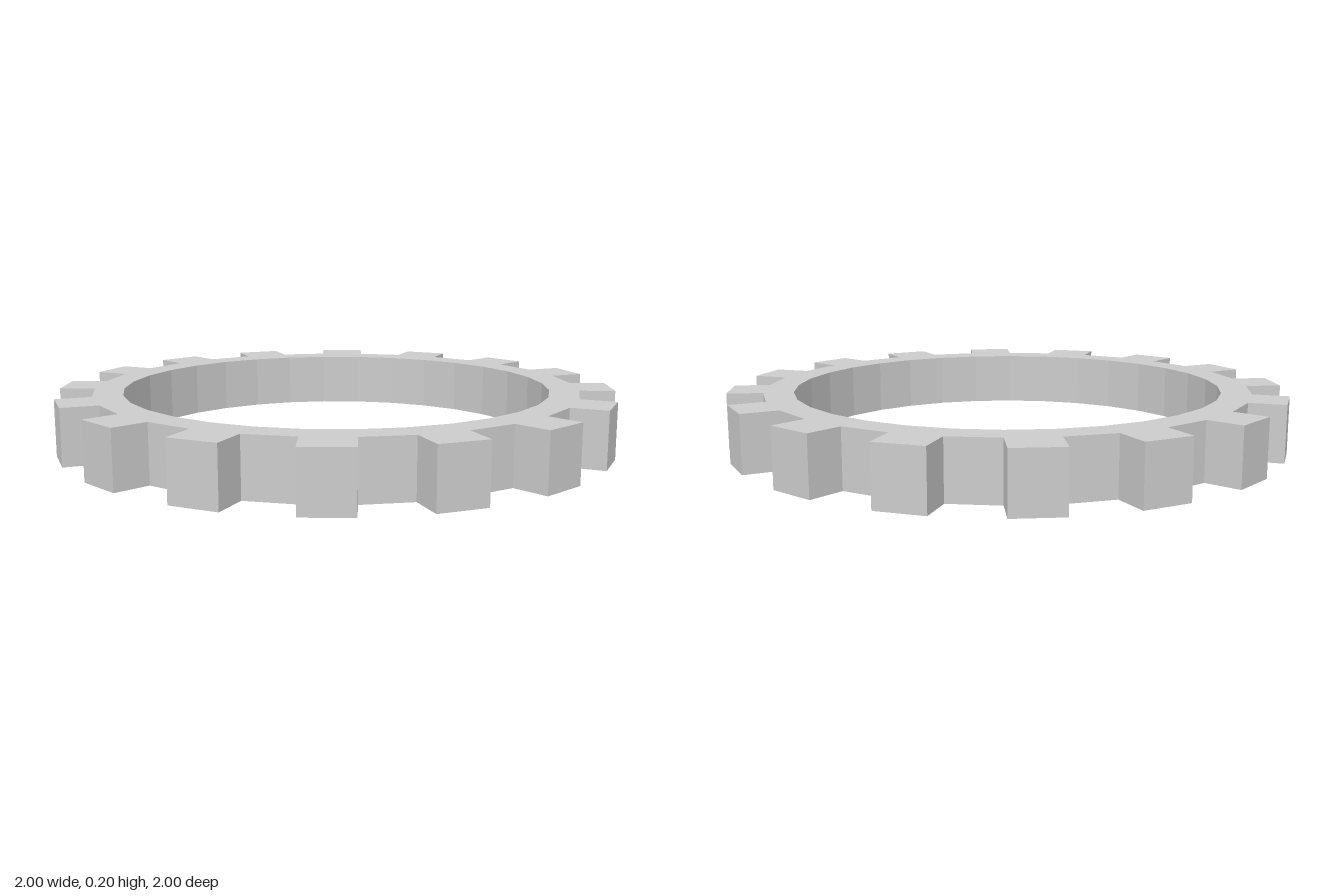
import * as THREE from 'three';

const TEETH = 16, TIP = 1, ROOT = 0.872, HALF_WIDTH = 0.085;
const BORE = 0.77, BORE_SIDES = 32, THICKNESS = 0.2;

// Outline of the ring: one straight-sided tooth after another
function gearOutline() {
  const points = [];
  const corners = [[ROOT, -HALF_WIDTH], [TIP, -HALF_WIDTH], [TIP, HALF_WIDTH], [ROOT, HALF_WIDTH]];
  for (let i = 0; i < TEETH; i++) {
    const angle = (i / TEETH) * Math.PI * 2;
    for (const [r, t] of corners) {
      points.push(new THREE.Vector2(r, t).rotateAround(new THREE.Vector2(), angle));
    }
  }
  return new THREE.Shape(points);
}

// Round opening, turned half a step so that flats face the axes
function boreOutline() {
  const points = [];
  for (let i = 0; i < BORE_SIDES; i++) {
    const angle = ((i + 0.5) / BORE_SIDES) * Math.PI * 2;
    points.push(new THREE.Vector2(Math.cos(angle) * BORE, Math.sin(angle) * BORE));
  }
  return new THREE.Path(points.reverse());
}

export function createModel() {
  const group = new THREE.Group();
  group.name = 'gearRing';

  // Toothed ring lying flat on the ground
  const shape = gearOutline();
  shape.holes.push(boreOutline());
  const geometry = new THREE.ExtrudeGeometry(shape, { depth: THICKNESS, bevelEnabled: false, steps: 1 });
  geometry.rotateX(-Math.PI / 2);

  const material = new THREE.MeshStandardMaterial({ color: 0xcccccc, flatShading: true });
  const ring = new THREE.Mesh(geometry, material);
  ring.name = 'toothedRing';
  group.add(ring);
  return group;
}
